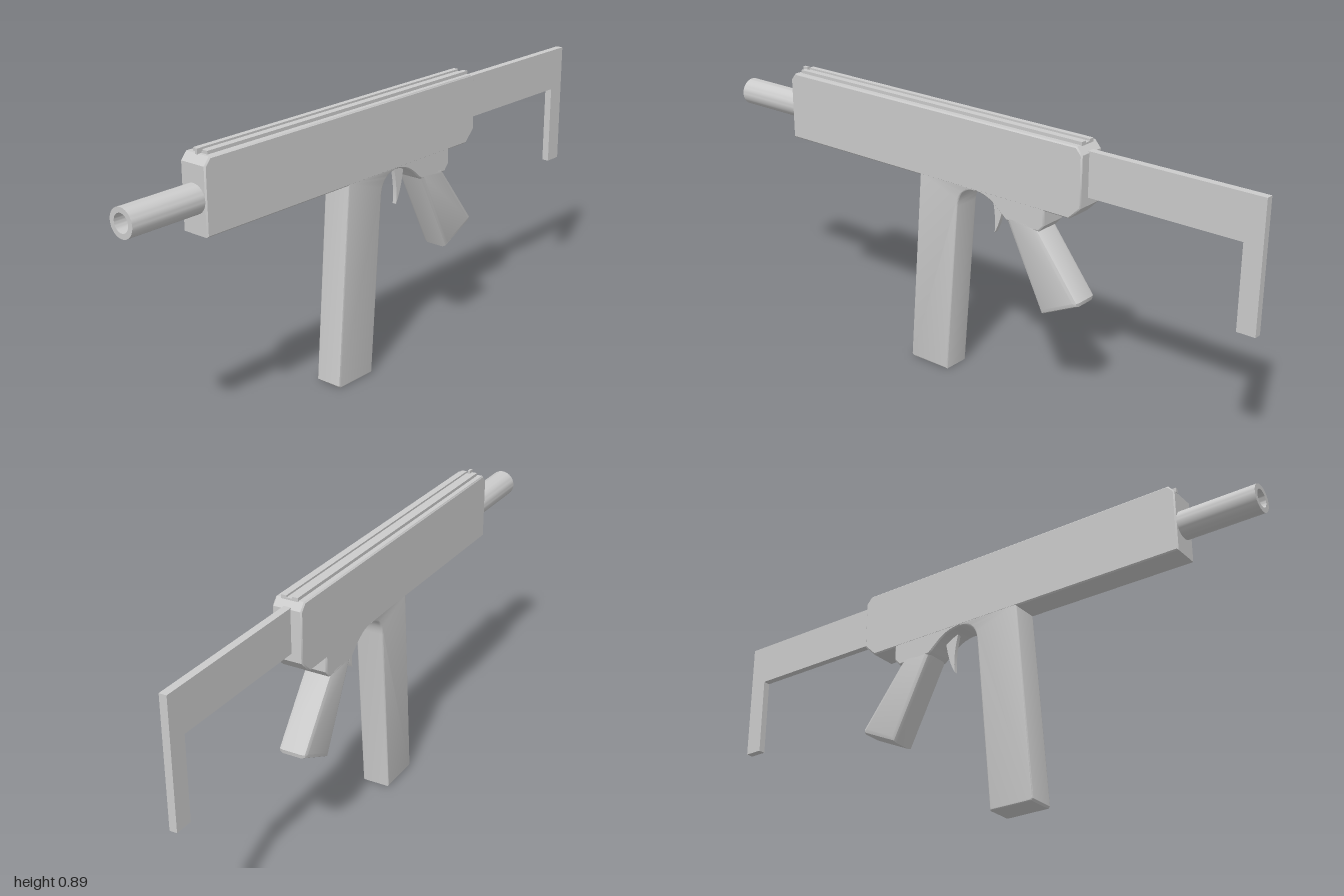
import * as THREE from 'three';
import { toCreasedNormals } from 'three/addons/utils/BufferGeometryUtils.js';

const material = new THREE.MeshStandardMaterial({ color: 0xcccccc });

export function createModel() {
  const model = new THREE.Group();

  const add = (name, geometry) => {
    const mesh = new THREE.Mesh(geometry, material);
    mesh.name = name;
    model.add(mesh);
    return mesh;
  };

  // Side profile in (z, y), extruded across x and bevelled inwards.
  const slab = (name, shape, width, bevel = 0, segments = 1) => {
    const geometry = new THREE.ExtrudeGeometry(shape, {
      depth: width - 2 * bevel, curveSegments: 10, bevelEnabled: bevel > 0,
      bevelThickness: bevel, bevelSize: bevel, bevelOffset: -bevel, bevelSegments: segments,
    });
    geometry.translate(0, 0, bevel - width / 2);
    geometry.rotateY(-Math.PI / 2);
    return add(name, toCreasedNormals(geometry, 0.6));
  };
  const outline = (points) => new THREE.Shape(points.map(([z, y]) => new THREE.Vector2(z, y)));
  const box = (name, w, h, d, x, y, z) => add(name, new THREE.BoxGeometry(w, h, d).translate(x, y, z));

  // Receiver with chamfered ends
  slab('receiver', outline([
    [0.75, 0.65], [0.75, 0.85], [0.73, 0.873], [-0.415, 0.873],
    [-0.435, 0.85], [-0.435, 0.69], [-0.395, 0.65],
  ]), 0.095, 0.004);

  // Top rails and front sight
  box('railBase', 0.048, 0.006, 1.14, 0, 0.874, 0.15);
  for (const side of [-1, 1]) box('rail', 0.018, 0.012, 1.14, side * 0.0185, 0.877, 0.15);
  box('frontSight', 0.008, 0.016, 0.02, 0, 0.88, 0.725);

  // Hollow barrel
  const barrel = new THREE.LatheGeometry([
    [0, 0.8], [0.028, 0.8], [0.028, 1], [0.044, 1], [0.044, 0.74],
  ].map(([r, z]) => new THREE.Vector2(r, -z)), 40);
  // The profile runs towards -y, so a turn about x points the muzzle forwards.
  barrel.rotateX(-Math.PI / 2).translate(0, 0.752, 0);
  add('barrel', toCreasedNormals(barrel, 0.6));

  // Magazine, swept into the front of the trigger arch
  const magazine = new THREE.Shape();
  magazine.moveTo(0.18, 0.66);
  magazine.lineTo(0.23, 0.006);
  magazine.lineTo(0.224, 0);
  magazine.lineTo(0.077, 0);
  magazine.lineTo(0.03, 0.58);
  magazine.bezierCurveTo(0.025, 0.625, 0, 0.645, -0.04, 0.648);
  magazine.lineTo(-0.04, 0.66);
  slab('magazine', magazine, 0.094, 0.005, 3);

  // Rear of the trigger arch, carrying the grip
  const arch = new THREE.Shape();
  arch.moveTo(-0.03, 0.66);
  arch.lineTo(-0.03, 0.649);
  arch.bezierCurveTo(-0.1, 0.648, -0.12, 0.62, -0.163, 0.585);
  arch.lineTo(-0.285, 0.58);
  arch.lineTo(-0.305, 0.603);
  arch.lineTo(-0.305, 0.66);
  slab('gripMount', arch, 0.094, 0.004);

  slab('grip', outline([
    [-0.155, 0.605], [-0.163, 0.585], [-0.3, 0.313], [-0.43, 0.375], [-0.432, 0.388],
    [-0.28, 0.583], [-0.28, 0.605],
  ]), 0.094, 0.015, 2);

  // Curved trigger
  const trigger = new THREE.Shape();
  trigger.moveTo(-0.07, 0.66);
  trigger.quadraticCurveTo(-0.095, 0.58, -0.088, 0.513);
  trigger.quadraticCurveTo(-0.115, 0.56, -0.125, 0.64);
  trigger.lineTo(-0.125, 0.66);
  slab('trigger', trigger, 0.014);

  // Flat stock with a dropped butt
  slab('stock', outline([
    [-0.42, 0.715], [-0.42, 0.855], [-1, 0.855], [-1, 0.45], [-0.94, 0.45], [-0.94, 0.715],
  ]), 0.024);

  return model;
}
